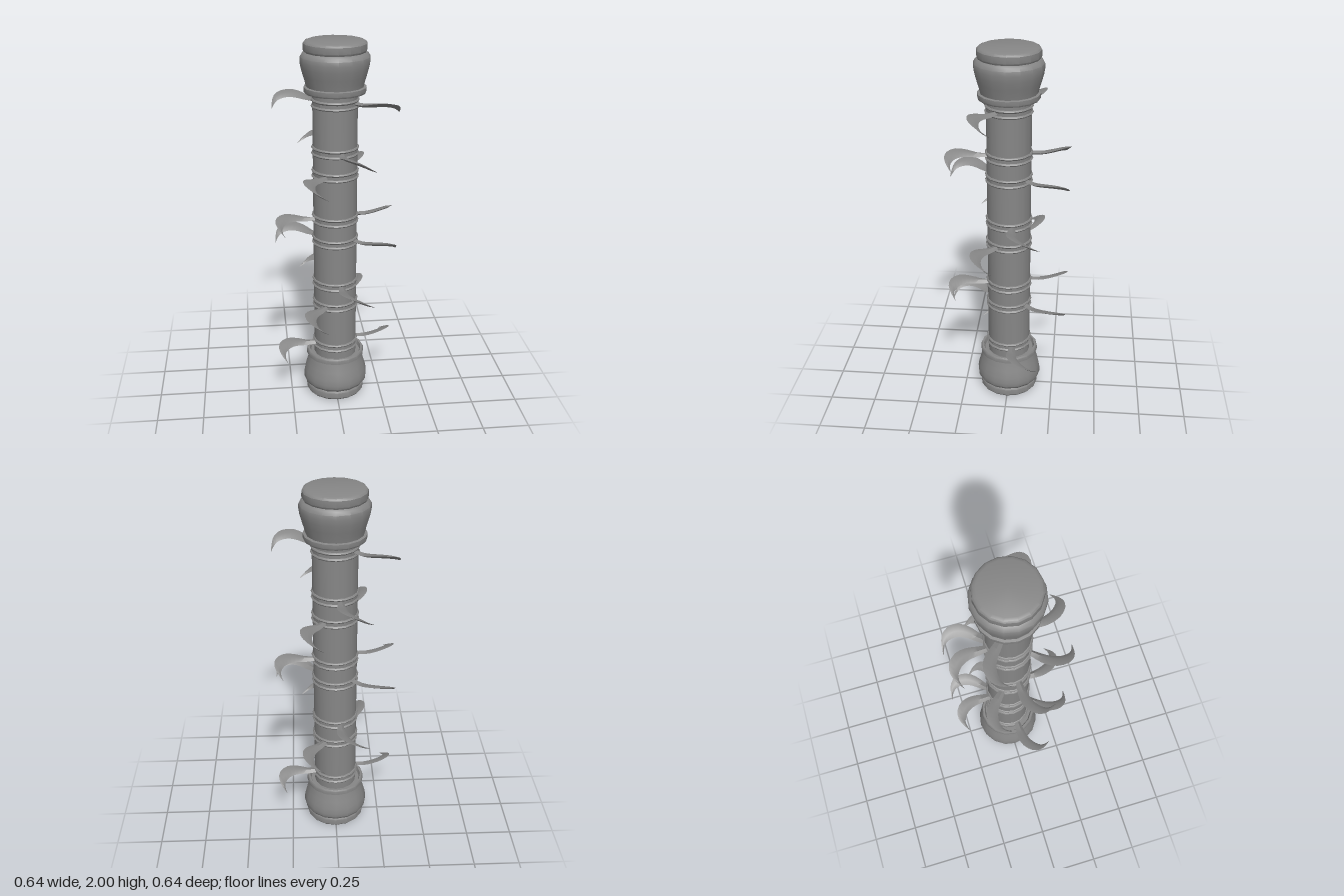
import * as THREE from 'three';
import { toCreasedNormals } from 'three/addons/utils/BufferGeometryUtils.js';

const material = new THREE.MeshStandardMaterial({ color: 0x868686 });
const SIDES = 16;

// Turned part from [radius, y] pairs, listed from bottom to top
function turned(name, profile) {
  const points = profile.map(([r, y]) => new THREE.Vector2(r, y));
  const mesh = new THREE.Mesh(toCreasedNormals(new THREE.LatheGeometry(points, SIDES), 0.6), material);
  mesh.name = name;
  return mesh;
}

// Curved, drooping claw blade lofted through lens-shaped cross-sections
function bladeGeometry() {
  const curve = (pts) => new THREE.CatmullRomCurve3(pts.map((p) => new THREE.Vector3(...p)));
  const outer = curve([
    [0.10, 0.004, -0.012], [0.165, 0.006, -0.004], [0.216, 0.018, -0.002], [0.274, 0.03, -0.018],
    [0.316, 0.026, -0.062], [0.322, 0.01, -0.108], [0.302, -0.016, -0.148], [0.275, -0.04, -0.18],
  ]);
  const inner = curve([
    [0.10, -0.002, -0.04], [0.165, -0.004, -0.05], [0.206, 0, -0.057], [0.243, 0.002, -0.072],
    [0.271, -0.002, -0.095], [0.287, -0.014, -0.124], [0.285, -0.03, -0.153], [0.273, -0.043, -0.18],
  ]);
  const steps = 14, positions = [], index = [];
  for (let i = 0; i <= steps; i++) {
    const t = i / steps, a = inner.getPoint(t), b = outer.getPoint(t);
    const top = a.clone().lerp(b, 0.4), bottom = top.clone();
    const thickness = 1 - t ** 3;
    top.y += 0.012 * thickness;
    bottom.y -= 0.009 * thickness;
    for (const p of [a, top, b, bottom]) positions.push(p.x, p.y, p.z);
    if (i === steps) break;
    for (let k = 0; k < 4; k++) {
      const p = i * 4 + k, q = i * 4 + ((k + 1) % 4);
      index.push(p, q, p + 4, q, q + 4, p + 4);
    }
  }
  // Root and tip caps
  const e = steps * 4;
  index.push(0, 2, 1, 0, 3, 2, e, e + 1, e + 2, e, e + 2, e + 3);
  const geometry = new THREE.BufferGeometry();
  geometry.setAttribute('position', new THREE.Float32BufferAttribute(positions, 3));
  geometry.setIndex(index);
  return toCreasedNormals(geometry, 0.9);
}

export function createModel() {
  const model = new THREE.Group();
  model.name = 'bladedPole';

  model.add(turned('shaft', [[0, 0.15], [0.117, 0.15], [0.117, 1.85], [0, 1.85]]));

  // Flared end caps, the upper one the lower one turned over
  const capProfile = [
    [0, 0], [0.14, 0], [0.155, 0.005], [0.162, 0.014], [0.163, 0.046], [0.157, 0.056],
    [0.168, 0.064], [0.178, 0.08], [0.179, 0.104], [0.174, 0.135], [0.163, 0.175],
    [0.154, 0.205], [0.148, 0.23], [0.161, 0.233], [0.161, 0.255], [0.156, 0.263],
    [0.145, 0.263], [0.138, 0.243], [0.117, 0.243],
  ];
  const bottomCap = turned('bottomCap', capProfile);
  const topCap = turned('topCap', capProfile);
  topCap.rotation.x = Math.PI;
  topCap.position.y = 2;
  model.add(bottomCap, topCap);

  // Grooved collars, each carrying two opposite blades, stepping round the shaft
  const blade = bladeGeometry();
  [1.685, 1.435, 1.31, 1.06, 0.935, 0.685, 0.56, 0.31].forEach((y, row) => {
    const tier = new THREE.Group();
    tier.name = 'bladeTier' + (row + 1);
    tier.position.y = y;
    tier.add(turned('collar', [
      [0.115, -0.024], [0.122, -0.022], [0.126, -0.016], [0.122, -0.01], [0.119, -0.008],
      [0.119, 0.008], [0.122, 0.01], [0.126, 0.016], [0.122, 0.022], [0.115, 0.024],
    ]));
    for (let side = 0; side < 2; side++) {
      const mesh = new THREE.Mesh(blade, material);
      mesh.name = side ? 'bladeOpposite' : 'blade';
      mesh.rotation.y = -Math.PI / 4 + row * Math.PI * 0.75 + side * Math.PI;
      tier.add(mesh);
    }
    model.add(tier);
  });

  return model;
}
